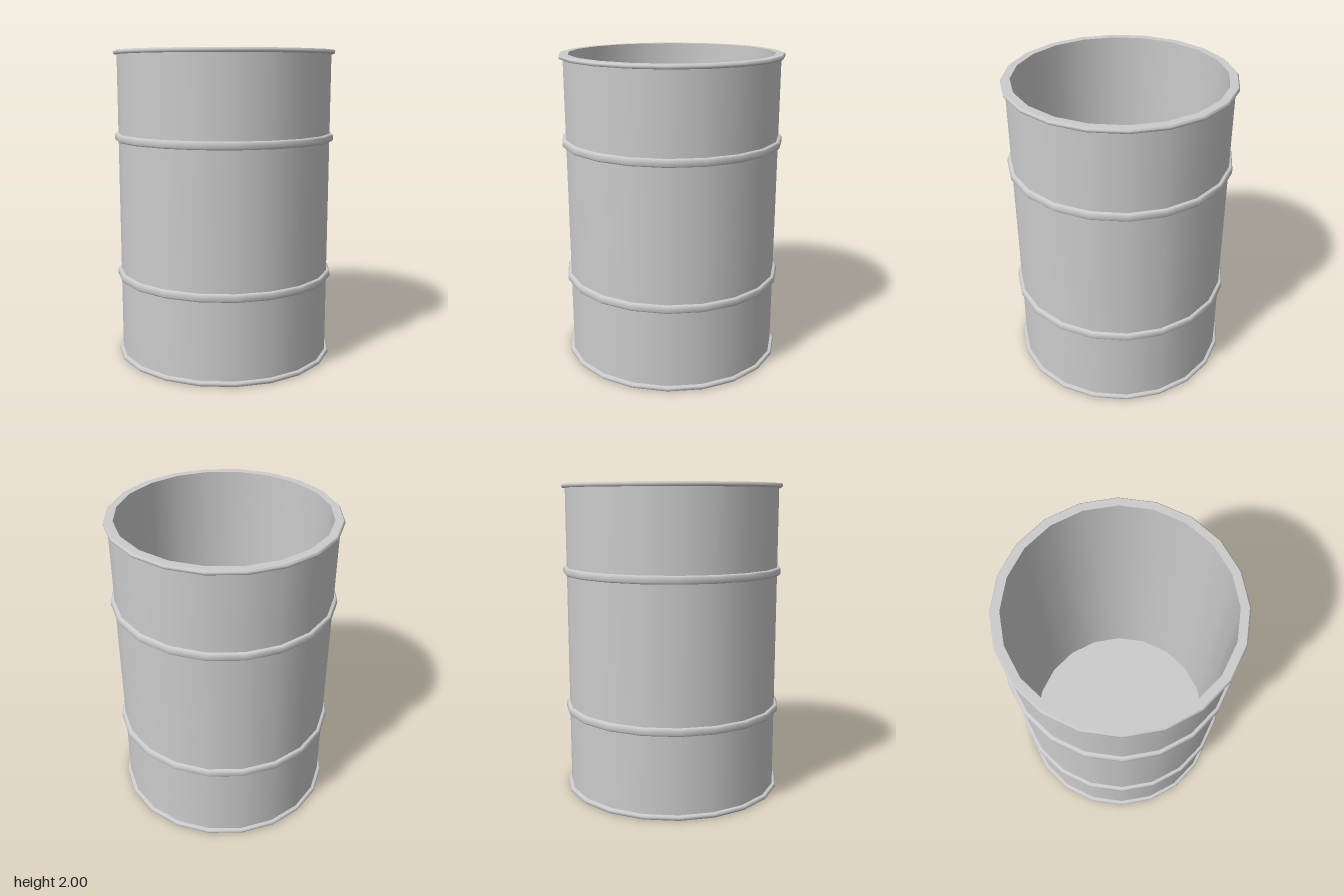
import * as THREE from 'three';

const SIDES = 20;
const OUTER = 0.69, INNER = 0.655, BEAD = 0.713, FLOOR = 0.03;

export function createModel() {
  const drum = new THREE.Group();
  drum.name = 'drum';
  const material = new THREE.MeshStandardMaterial({ color: 0xcccccc });

  // Each smooth surface is its own lathe, so edges between them stay sharp.
  function turn(name, profile, parent = drum) {
    const points = profile.map(([r, y]) => new THREE.Vector2(r, y));
    const mesh = new THREE.Mesh(new THREE.LatheGeometry(points, SIDES), material);
    mesh.name = name;
    parent.add(mesh);
  }

  // Shell: outer wall, inner wall, floor
  turn('outerWall', [[OUTER, 0.01], [OUTER, 1.99]]);
  turn('innerWall', [[INNER, 2], [INNER, FLOOR]]);
  turn('innerFloor', [[INNER, FLOOR], [0, FLOOR]]);

  // Rolled hoops around the wall
  for (const [name, y] of [['lowerHoop', 0.55], ['upperHoop', 1.45]]) {
    turn(name, [
      [OUTER - 0.01, y - 0.025], [0.704, y - 0.024], [BEAD, y - 0.014],
      [BEAD, y + 0.014], [0.704, y + 0.024], [OUTER - 0.01, y + 0.025],
    ]);
  }

  // Top rim: rounded bead with a flat lip
  const topRim = new THREE.Group();
  topRim.name = 'topRim';
  turn('topBead', [
    [OUTER - 0.01, 1.973], [0.706, 1.974], [BEAD, 1.981], [BEAD, 1.992], [0.705, 2],
  ], topRim);
  turn('topLip', [[0.705, 2], [INNER, 2]], topRim);
  drum.add(topRim);

  // Bottom rim: rounded bead closed by a flat base
  const bottomRim = new THREE.Group();
  bottomRim.name = 'bottomRim';
  turn('bottomBead', [
    [0.705, 0], [BEAD, 0.008], [BEAD, 0.02], [0.706, 0.028], [OUTER - 0.01, 0.029],
  ], bottomRim);
  turn('base', [[0, 0], [0.705, 0]], bottomRim);
  drum.add(bottomRim);

  return drum;
}
